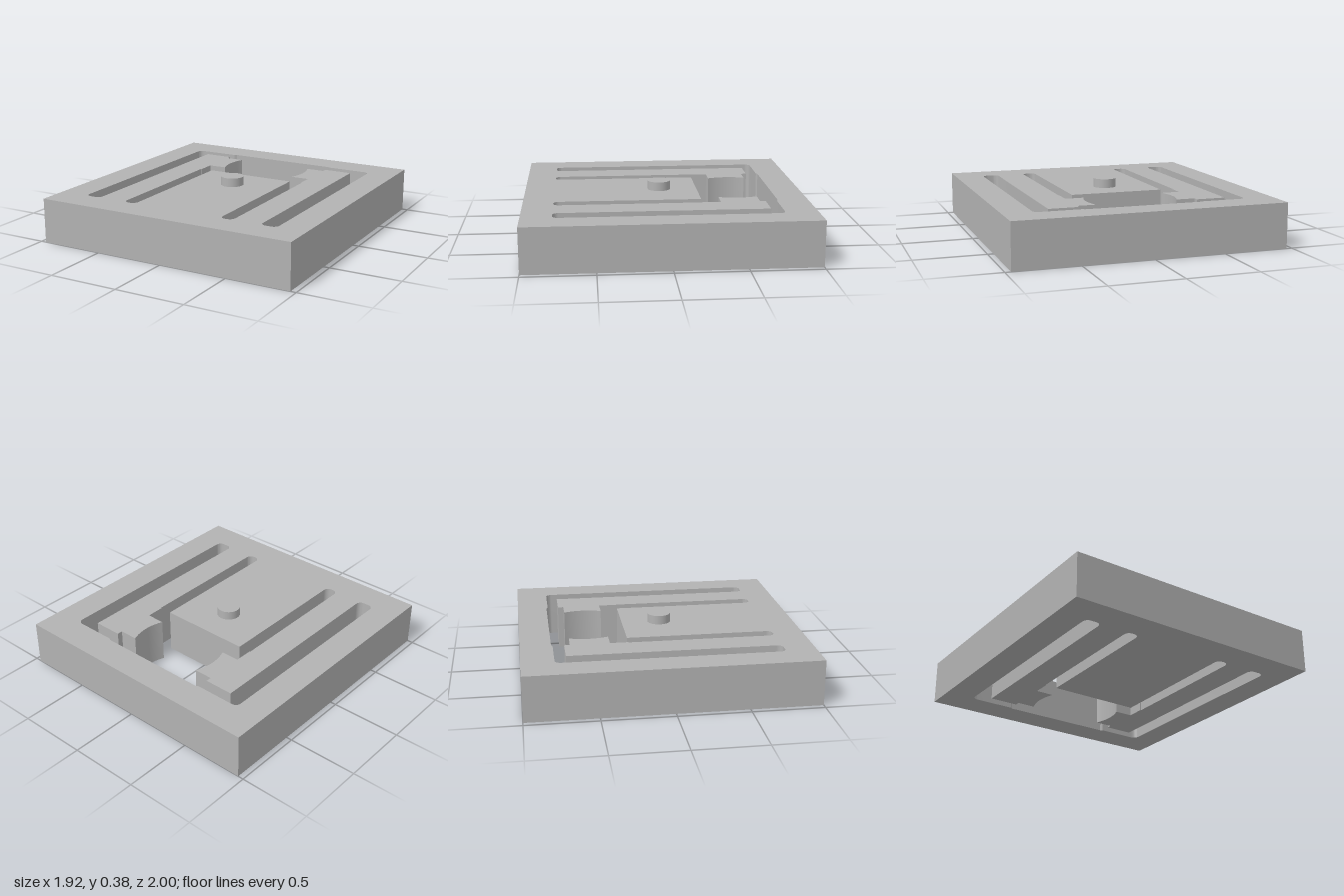
import * as THREE from 'three';
import { toCreasedNormals } from 'three/addons/utils/BufferGeometryUtils.js';

const HEIGHT = 0.32;

// Corner points [x, z, radius] to a polyline with rounded corners
function roundedPath(corners) {
  const points = [];
  corners.forEach(([x, z, r], i) => {
    const p = new THREE.Vector2(x, z);
    if (!r) {
      points.push(p);
      return;
    }
    const toward = (c) => new THREE.Vector2(c[0], c[1]).sub(p).normalize();
    const a = toward(corners[i - 1]);
    const b = toward(corners[i + 1]);
    for (let k = 0; k <= 8; k++) {
      const t = (k / 8) * Math.PI / 2;
      points.push(p.clone()
        .addScaledVector(a, r * (1 - Math.sin(t)))
        .addScaledVector(b, r * (1 - Math.cos(t))));
    }
  });
  return points;
}

// Curved gripping face of one jaw, from back to front
function jawFace() {
  const points = [];
  for (let k = 0; k <= 16; k++) {
    const t = -0.4 + 0.8 * k / 16;
    points.push([-0.036 + 0.354 * Math.cos(t), -0.518 + 0.354 * Math.sin(t)]);
  }
  return points;
}

// Half of the cut-out, from the back wall round the arm to the tongue end
function halfCutout() {
  return roundedPath([
    [0.41, -0.785], [0.425, -0.775],
    [0.753, -0.775, 0.04],                          // back corner
    [0.753, 0.787, 0.04], [0.634, 0.787, 0.04],     // outer slot
    [0.634, -0.696], [0.424, -0.696],               // arm end
    [0.424, -0.656], ...jawFace(), [0.424, -0.38],  // jaw
    [0.424, -0.25], [0.43, -0.25],
    [0.43, 0.787, 0.04], [0.336, 0.787, 0.04],      // inner slot
    [0.336, -0.252],                                // tongue corner
  ]);
}

export function createModel() {
  const group = new THREE.Group();
  const grey = new THREE.MeshStandardMaterial({ color: 0xb2b2b2 });
  grey.name = 'grey';

  // Plate with two spring arms and a central tongue
  const outline = new THREE.Shape([
    [-0.96, -1], [0.96, -1], [0.96, 1], [-0.96, 1],
  ].map(([x, y]) => new THREE.Vector2(x, y)));
  const half = halfCutout();
  const cutout = [
    ...half,
    ...half.slice().reverse().map((p) => new THREE.Vector2(-p.x, p.y)),
  ].map((p) => new THREE.Vector2(p.x, -p.y));
  outline.holes.push(new THREE.Path(cutout));
  const plateGeometry = new THREE.ExtrudeGeometry(outline, { depth: HEIGHT, bevelEnabled: false });
  plateGeometry.rotateX(-Math.PI / 2);
  const plate = new THREE.Mesh(toCreasedNormals(plateGeometry, 0.5), grey);
  plate.name = 'slottedPlate';
  group.add(plate);

  // Round button on the tongue
  const button = new THREE.Mesh(new THREE.CylinderGeometry(0.083, 0.083, 0.064, 48), grey);
  button.name = 'button';
  button.position.set(0, HEIGHT + 0.032, 0.022);
  group.add(button);

  return group;
}
